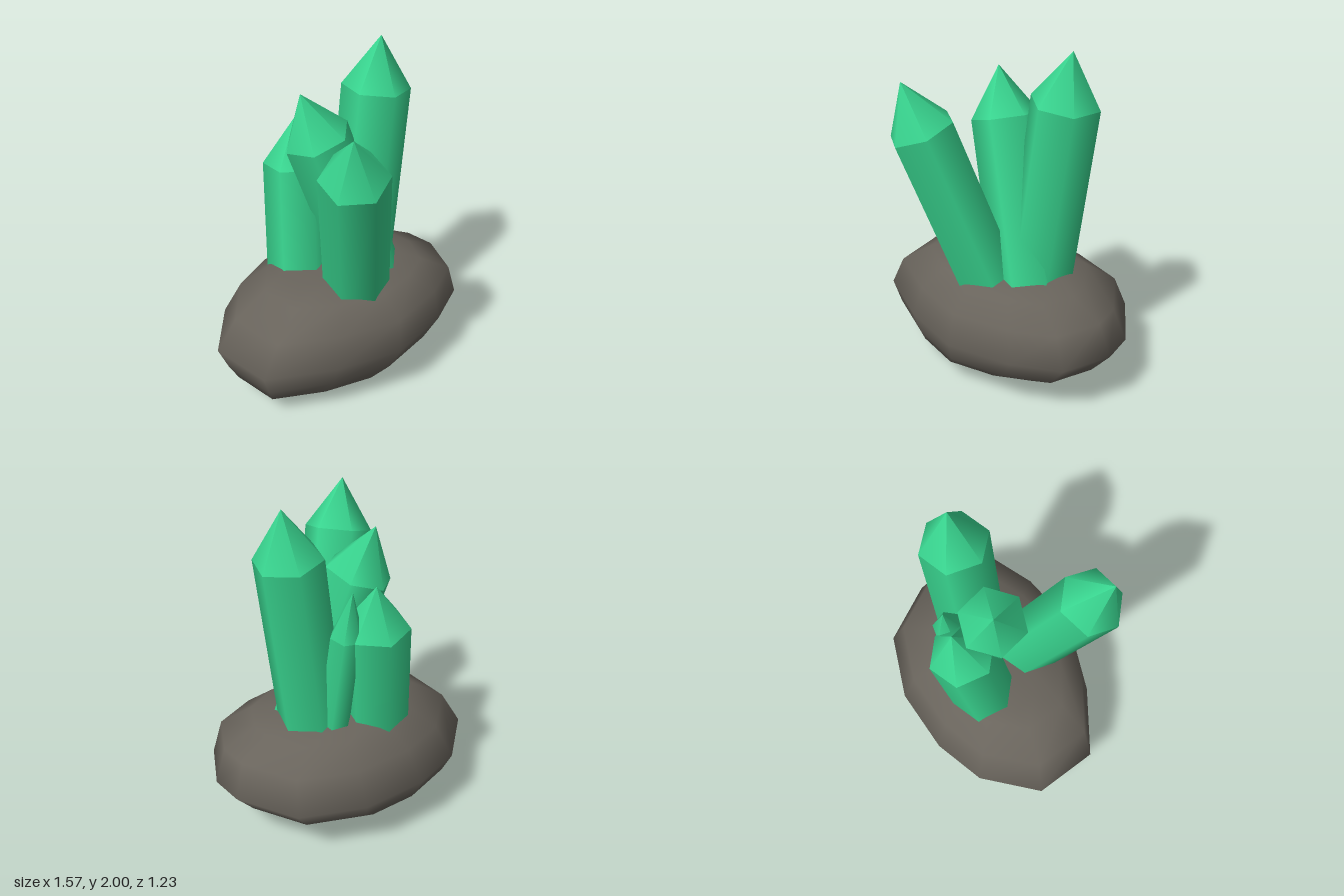
import * as THREE from 'three';

const crystalGreen = new THREE.MeshStandardMaterial({ color: 0x38d38e });
crystalGreen.name = 'crystal green';
const rockGrey = new THREE.MeshStandardMaterial({ color: 0x69645c });
rockGrey.name = 'rock grey';

// Rock: one irregular outline, fitted to the extents of each level
function createRock() {
  const outline = [
    [-0.785, -0.065], [-0.57, -0.38], [-0.29, -0.535], [0.09, -0.617], [0.475, -0.55], [0.73, -0.26],
    [0.785, -0.07], [0.71, 0.225], [0.46, 0.39], [0.09, 0.512], [-0.3, 0.45], [-0.69, 0.3],
  ];
  // y, xMin, xMax, zMin, zMax
  const levels = [
    [0.0, -0.34, 0.05, -0.12, 0.06],
    [0.04, -0.48, 0.2, -0.27, 0.28],
    [0.13, -0.68, 0.48, -0.44, 0.4],
    [0.22, -0.73, 0.67, -0.53, 0.46],
    [0.355, -0.785, 0.785, -0.617, 0.512],
    [0.55, -0.675, 0.72, -0.535, 0.48],
    [0.665, -0.48, 0.53, -0.39, 0.35],
    [0.705, -0.36, 0.37, -0.27, 0.15],
  ];
  const n = outline.length;
  const positions = [];
  const index = [];
  levels.forEach(([y, x0, x1, z0, z1], k) => {
    for (const [x, z] of outline) {
      const px = THREE.MathUtils.mapLinear(x, -0.785, 0.785, x0, x1);
      const pz = THREE.MathUtils.mapLinear(z, -0.617, 0.512, z0, z1);
      positions.push(px, k > 5 ? y - 0.035 * px : y, pz);
    }
  });
  for (let k = 0; k < levels.length - 1; k++) {
    for (let i = 0; i < n; i++) {
      const a = k * n + i;
      const b = k * n + (i + 1) % n;
      index.push(a, a + n, b, b, a + n, b + n);
    }
  }
  // Close the bottom and the top
  const bottom = positions.length / 3;
  positions.push(-0.15, 0, -0.04, -0.05, 0.715, -0.08);
  const last = (levels.length - 1) * n;
  for (let i = 0; i < n; i++) {
    const j = (i + 1) % n;
    index.push(bottom, i, j, bottom + 1, last + j, last + i);
  }
  const geometry = new THREE.BufferGeometry();
  geometry.setAttribute('position', new THREE.Float32BufferAttribute(positions, 3));
  geometry.setIndex(index);
  geometry.computeVertexNormals();
  const rock = new THREE.Mesh(geometry, rockGrey);
  rock.name = 'rock';
  return rock;
}

// Six-sided crystal: shaft rooted inside the rock, pointed cap from shoulder to tip
function createCrystal({ name, shoulder, tip, radius, twist }) {
  const s = new THREE.Vector3(...shoulder);
  const t = new THREE.Vector3(...tip);
  const axis = t.clone().sub(s);
  const capHeight = axis.length();
  axis.normalize();
  const shaftLength = (s.y - 0.35) / axis.y;

  const shaftGeometry = new THREE.CylinderGeometry(radius, radius, shaftLength, 6, 1, true);
  shaftGeometry.translate(0, -shaftLength / 2, 0);
  const capGeometry = new THREE.ConeGeometry(radius, capHeight, 6, 1, true);
  capGeometry.translate(0, capHeight / 2, 0);

  const crystal = new THREE.Group();
  crystal.name = name;
  [['shaft', shaftGeometry], ['cap', capGeometry]].forEach(([part, geometry]) => {
    geometry.rotateY(THREE.MathUtils.degToRad(twist));
    const mesh = new THREE.Mesh(geometry, crystalGreen);
    mesh.name = part;
    crystal.add(mesh);
  });
  crystal.position.copy(s);
  crystal.quaternion.setFromUnitVectors(new THREE.Vector3(0, 1, 0), axis);
  return crystal;
}

export function createModel() {
  const model = new THREE.Group();
  model.name = 'crystalCluster';
  model.add(createRock());
  const crystals = [
    { name: 'frontCrystal', shoulder: [-0.185, 1.56, 0.43], tip: [-0.246, 1.83, 0.511], radius: 0.192, twist: 0 },
    { name: 'tallCrystal', shoulder: [0.336, 1.71, -0.13], tip: [0.372, 2.0, -0.141], radius: 0.195, twist: -3 },
    { name: 'middleCrystal', shoulder: [-0.083, 1.53, -0.086], tip: [-0.168, 1.8, -0.115], radius: 0.192, twist: 22 },
    { name: 'backCrystal', shoulder: [-0.105, 1.29, -0.277], tip: [-0.084, 1.555, -0.316], radius: 0.19, twist: 0 },
    { name: 'smallCrystal', shoulder: [0.07, 1.27, -0.28], tip: [0.05, 1.545, -0.313], radius: 0.095, twist: 28 },
  ];
  crystals.forEach((c) => model.add(createCrystal(c)));
  return model;
}
